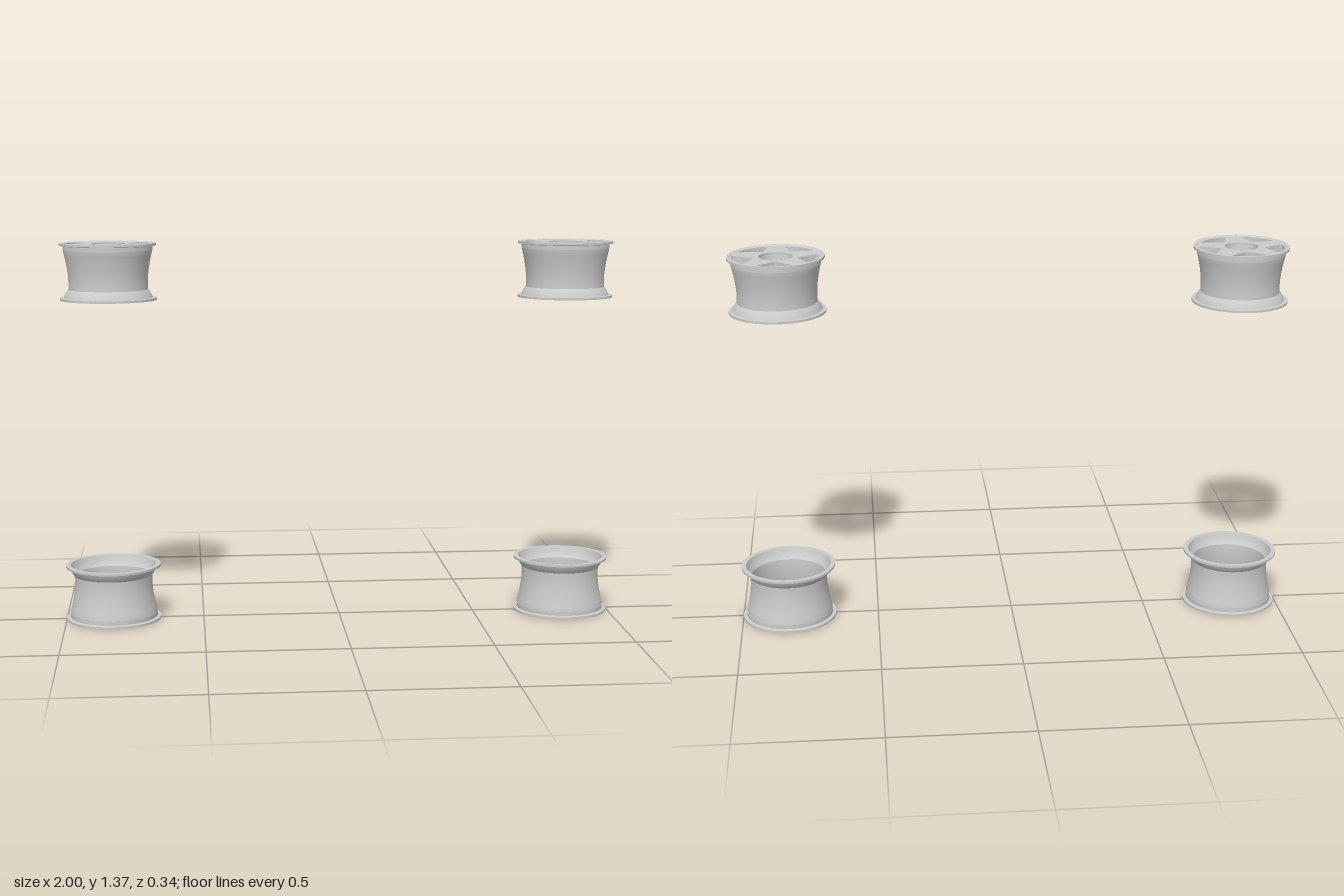
import * as THREE from 'three';
import { toCreasedNormals } from 'three/addons/utils/BufferGeometryUtils.js';

const HEIGHT = 0.203;
const material = new THREE.MeshStandardMaterial({ color: 0xcccccc });

function lathe(points) {
  const profile = points.map(([r, y]) => new THREE.Vector2(r, y));
  return toCreasedNormals(new THREE.LatheGeometry(profile, 72), 0.45);
}

// Barrel: waisted outer wall going up, inner wall coming back down
function barrelGeometry() {
  return lathe([
    [0.155, 0], [0.172, 0], [0.172, 0.008], [0.159, 0.009], [0.156, 0.016], [0.15, 0.028], [0.142, 0.038],
    [0.141, 0.06], [0.142, 0.085], [0.145, 0.11], [0.149, 0.135], [0.154, 0.158], [0.157, 0.17],
    [0.159, 0.193], [0.172, 0.195], [0.172, HEIGHT], [0.162, HEIGHT], [0.158, 0.2],
    [0.152, 0.18], [0.15, 0.168], [0.147, 0.158], [0.142, 0.135], [0.138, 0.11], [0.136, 0.085],
    [0.135, 0.06], [0.136, 0.04], [0.145, 0.028], [0.15, 0.016], [0.155, 0],
  ]);
}

// Star face: disc with five rounded triangular windows and a hub hole
function faceGeometry() {
  const shape = new THREE.Shape().absarc(0, 0, 0.159, 0, Math.PI * 2, false);
  shape.holes.push(new THREE.Path().absarc(0, 0, 0.058, 0, Math.PI * 2, true));
  for (let i = 0; i < 5; i++) {
    const axis = Math.PI / 2 + (i * Math.PI * 2) / 5;
    const at = (r, a) => [r * Math.cos(axis + a), r * Math.sin(axis + a)];
    const hole = new THREE.Path();
    hole.moveTo(...at(0.086, -0.07));
    hole.lineTo(...at(0.143, -0.41));
    hole.quadraticCurveTo(...at(0.152, -0.43), ...at(0.152, -0.37));
    hole.absarc(0, 0, 0.152, axis - 0.37, axis + 0.37, false);
    hole.quadraticCurveTo(...at(0.152, 0.43), ...at(0.143, 0.41));
    hole.lineTo(...at(0.086, 0.07));
    hole.quadraticCurveTo(...at(0.08, 0), ...at(0.086, -0.07));
    shape.holes.push(hole);
  }
  const geometry = new THREE.ExtrudeGeometry(shape, { depth: 0.022, bevelEnabled: false, curveSegments: 36 });
  geometry.rotateX(-Math.PI / 2).translate(0, 0.178, 0);
  return toCreasedNormals(geometry, 0.45);
}

// Hub: closed cup sunk into the middle of the face
function hubGeometry() {
  return lathe([
    [0, 0.145], [0.058, 0.145], [0.061, 0.178], [0.061, 0.201], [0.059, 0.201],
    [0.052, 0.157], [0, 0.157],
  ]);
}

export function createModel() {
  const model = new THREE.Group();
  model.name = 'wheelRims';
  const parts = { barrel: barrelGeometry(), starFace: faceGeometry(), hub: hubGeometry() };

  // Upper pair faces up, lower pair is turned over to face down
  for (const side of [-1, 1]) {
    for (const upper of [true, false]) {
      const rim = new THREE.Group();
      rim.name = (upper ? 'upper' : 'lower') + (side > 0 ? 'Left' : 'Right') + 'Rim';
      for (const [name, geometry] of Object.entries(parts)) {
        const mesh = new THREE.Mesh(geometry, material);
        mesh.name = name;
        rim.add(mesh);
      }
      rim.position.set(side * 0.828, upper ? 1.169 : HEIGHT, 0);
      if (!upper) rim.rotation.z = Math.PI;
      model.add(rim);
    }
  }
  return model;
}
